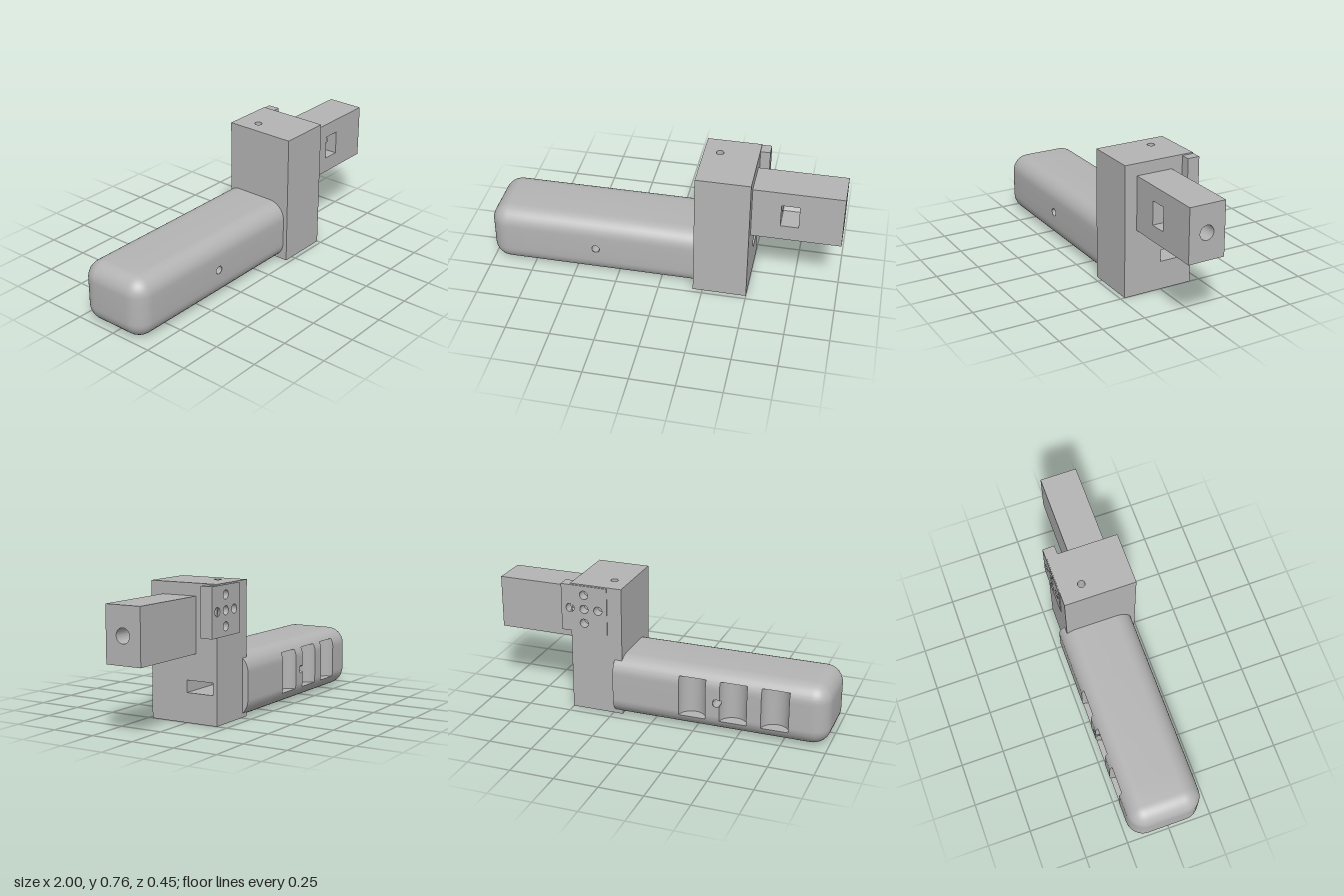
import * as THREE from 'three';
import { mergeGeometries, toCreasedNormals } from 'three/addons/utils/BufferGeometryUtils.js';

const rect = (u0, u1, v0, v1) => [[u0, v0], [u1, v0], [u1, v1], [u0, v1]];
const circle = (u, v, r, n = 32) => Array.from({ length: n }, (_, i) => {
  const t = (i / n) * Math.PI * 2;
  return [u + r * Math.cos(t), v + r * Math.sin(t)];
});
const vec2 = (pts) => pts.map(([u, v]) => new THREE.Vector2(u, v));

function flip(geo) {
  const ix = geo.index.array;
  for (let i = 0; i < ix.length; i += 3) [ix[i], ix[i + 1]] = [ix[i + 1], ix[i]];
  geo.computeVertexNormals();
  return geo;
}

// Flat face across one axis; in-plane coordinates are x: (z, y), y: (x, z), z: (x, y)
function face(axis, sign, at, outline, holes = []) {
  const shape = new THREE.Shape(vec2(outline));
  holes.forEach((h) => shape.holes.push(new THREE.Path(vec2(h))));
  const geo = new THREE.ShapeGeometry(shape);
  geo.deleteAttribute('uv');
  const p = geo.attributes.position;
  for (let i = 0; i < p.count; i++) {
    const u = p.getX(i), v = p.getY(i);
    if (axis === 'x') p.setXYZ(i, at, v, u);
    else if (axis === 'y') p.setXYZ(i, u, at, v);
    else p.setXYZ(i, u, v, at);
  }
  if ((axis === 'z') !== (sign > 0)) flip(geo);
  geo.computeVertexNormals();
  return geo;
}

// Box made of faces; cuts gives the holes of a face, or null to leave it open
function boxFaces([x0, y0, z0], [x1, y1, z1], cuts = {}, inward = false) {
  const outlines = { x: rect(z0, z1, y0, y1), y: rect(x0, x1, z0, z1), z: rect(x0, x1, y0, y1) };
  const ends = { x: [x0, x1], y: [y0, y1], z: [z0, z1] };
  const out = [];
  for (const axis of ['x', 'y', 'z']) {
    for (const s of [-1, 1]) {
      const cut = cuts[(s < 0 ? '-' : '+') + axis];
      if (cut === null) continue;
      out.push(face(axis, inward ? -s : s, ends[axis][s < 0 ? 0 : 1], outlines[axis], cut));
    }
  }
  return out;
}

// Inward-facing wall of a round hole
function bore(axis, x, y, z, r, length) {
  const geo = new THREE.CylinderGeometry(r, r, length, 32, 1, true);
  geo.deleteAttribute('uv');
  if (axis === 'x') geo.rotateZ(Math.PI / 2);
  if (axis === 'z') geo.rotateX(Math.PI / 2);
  return flip(geo.translate(x, y, z));
}

// Grip dimensions
const R = 0.1, H = 0.355, ZB = -0.225, ZF = 0.2, X0 = -1, X1 = 0.24;
const SCALLOPS = [-0.232, -0.47, -0.707], SR = 0.078;
const PIN = { x: -0.375, y: H / 2, r: 0.022 };

// Depth of the finger scallops along the back
function scallopZ(x, z) {
  for (const c of SCALLOPS) {
    const d = SR * SR - (x - c) ** 2;
    if (d > 0) z = Math.max(z, ZB + Math.sqrt(d));
  }
  return z;
}

function gripGeometry() {
  const pinSteps = Array.from({ length: 13 }, (_, i) => -Math.cos((i / 12) * Math.PI) * PIN.r);
  // Cross-section rows: core point, outward direction, inside scallop height or not
  const rows = [];
  const row = (cy, cz, ny, nz, cut = false) => rows.push({ cy, cz, ny, nz, cut });
  const lowCut = Math.asin(0.3), highCut = Math.PI / 6, N = 8, Q = Math.PI / 2;
  const arc = (cy, cz, from, to, cut) => {
    for (let i = 0; i <= N; i++) {
      const t = from + ((to - from) * i) / N;
      row(cy, cz, Math.sin(t), -Math.cos(t), cut);
    }
  };
  const flatYs = pinSteps.map((d) => PIN.y + d);
  arc(R, ZB + R, -Q, -lowCut, false);
  arc(R, ZB + R, -lowCut, 0, true);
  flatYs.forEach((y) => row(y, ZB + R, 0, -1, true));
  arc(H - R, ZB + R, 0, highCut, true);
  arc(H - R, ZB + R, highCut, Q, false);
  arc(H - R, ZF - R, Q, 2 * Q, false);
  flatYs.slice().reverse().forEach((y) => row(y, ZF - R, 0, 1));
  arc(R, ZF - R, 2 * Q, 3 * Q, false);

  // Columns along the length, with a rounded outer end
  const cols = [];
  for (let i = 0; i <= 10; i++) {
    const t = (i / 10) * Q;
    cols.push({ x: X0 + R * (1 - Math.cos(t)), s: Math.sin(t) });
  }
  const xs = [X1, ...pinSteps.map((d) => PIN.x + d)];
  SCALLOPS.forEach((c) => {
    for (let i = 0; i <= 20; i++) xs.push(c + SR * Math.cos((i / 20) * Math.PI));
  });
  xs.sort((a, b) => a - b).forEach((x) => {
    if (x - cols[cols.length - 1].x > 1e-4) cols.push({ x, s: 1 });
  });

  const point = ({ x, s }, { cy, cz, ny, nz, cut }) => {
    const z = cz + R * s * nz;
    return new THREE.Vector3(x, cy + R * s * ny, cut ? scallopZ(x, z) : z);
  };
  const pos = [];
  const tri = (a, b, c) => {
    const area = b.clone().sub(a).cross(c.clone().sub(a)).length();
    if (area > 1e-9) [a, b, c].forEach((p) => pos.push(p.x, p.y, p.z));
  };
  const grid = cols.map((c) => rows.map((r) => point(c, r)));
  const last = grid.length - 1;
  rows.forEach((r, j) => {
    const k = (j + 1) % rows.length;
    const flat = Math.abs(r.nz) > 0.999 && Math.abs(rows[k].nz) > 0.999;
    for (let i = 0; i < last; i++) {
      const a = grid[i][j], b = grid[i + 1][j], c = grid[i + 1][k], d = grid[i][k];
      const inPin = Math.hypot((a.x + b.x) / 2 - PIN.x, (a.y + c.y) / 2 - PIN.y) < PIN.r;
      if (flat && inPin) continue;
      tri(a, d, c);
      tri(a, c, b);
    }
    // End caps
    const mid = (x) => new THREE.Vector3(x, H / 2, (ZB + ZF) / 2);
    tri(mid(X0), grid[0][k], grid[0][j]);
    tri(mid(X1), grid[last][j], grid[last][k]);
  });
  const geo = new THREE.BufferGeometry();
  geo.setAttribute('position', new THREE.Float32BufferAttribute(pos, 3));
  return toCreasedNormals(geo, 0.5);
}

// Cross-pin hole wall, ending on the scalloped back
function pinHoleGeometry() {
  const geo = bore('z', PIN.x, PIN.y, 0, PIN.r, 0.4);
  const p = geo.attributes.position;
  for (let i = 0; i < p.count; i++) p.setZ(i, p.getZ(i) > 0 ? ZF : scallopZ(p.getX(i), ZB));
  return geo;
}

// Pocket with a V-shaped inner end, opening to the front
function pocketFaces(x0, x1, boreHole) {
  const prof = [[0.153, 0.605], [0.01, 0.605], [-0.03, 0.5375], [0.01, 0.47], [0.153, 0.47]];
  const out = [face('x', 1, x0, prof, [boreHole]), face('x', -1, x1, prof, [boreHole])];
  for (let i = 0; i < 4; i++) {
    const [p, q] = [prof[i], prof[i + 1]];
    const geo = new THREE.BufferGeometry();
    geo.setAttribute('position', new THREE.Float32BufferAttribute(
      [x0, p[1], p[0], x0, q[1], q[0], x1, q[1], q[0], x1, p[1], p[0]], 3));
    geo.setIndex([0, 1, 2, 0, 2, 3]);
    geo.computeVertexNormals();
    out.push(geo);
  }
  return out;
}

export function createModel() {
  const group = new THREE.Group();
  const grey = new THREE.MeshStandardMaterial({ color: 0xb4b4b4 });
  grey.name = 'grey';
  const add = (name, geo) => {
    const mesh = new THREE.Mesh(Array.isArray(geo) ? mergeGeometries(geo) : geo, grey);
    mesh.name = name;
    group.add(mesh);
  };

  add('grip', gripGeometry());
  add('gripPinHole', pinHoleGeometry());

  // Upright block with side slot and vertical pin hole
  const px = 0.285, pz = -0.062, pr = 0.021;
  const pin = circle(px, pz, pr);
  add('block', [
    ...boxFaces([0.195, 0, -0.19], [0.5, 0.757, 0.225], {
      '+x': [rect(-0.165, 0, 0.165, 0.233)], '+y': [pin], '-y': [pin],
      '-z': [rect(0.29, 0.49, 0.485, 0.74)],
    }),
    ...boxFaces([0.25, 0.165, -0.165], [0.5, 0.233, 0], { '+x': null, '+y': [pin], '-y': [pin] }, true),
    bore('y', px, 0.0825, pz, pr, 0.165),
    bore('y', px, 0.495, pz, pr, 0.524),
  ]);

  // Side bar with end bore and nut pocket
  const by = 0.533, bz = 0.048, br = 0.041;
  const boreHole = circle(bz, by, br);
  add('sideBar', [
    ...boxFaces([0.5, 0.38, -0.06], [1, 0.688, 0.153], {
      '-x': null, '+x': [boreHole], '+z': [rect(0.66, 0.76, 0.47, 0.605)],
    }),
    ...pocketFaces(0.66, 0.76, boreHole),
    bore('x', 0.88, by, bz, br, 0.24),
    bore('x', 0.58, by, bz, br, 0.16),
  ]);

  // Back plate with five blind holes
  const cx = 0.418, cy = 0.6125, step = 0.084, hr = 0.025;
  const spots = [[0, 0], [1, 0], [-1, 0], [0, 1], [0, -1]].map(([i, j]) => [cx + i * step, cy + j * step]);
  add('backPlate', [
    ...boxFaces([0.28, 0.475, -0.195], [0.555, 0.75, -0.125], { '-z': spots.map(([x, y]) => circle(x, y, hr)) }),
    face('z', -1, -0.135, rect(0.285, 0.55, 0.48, 0.745)),
    ...spots.map(([x, y]) => bore('z', x, y, -0.165, hr, 0.06)),
  ]);
  return group;
}
